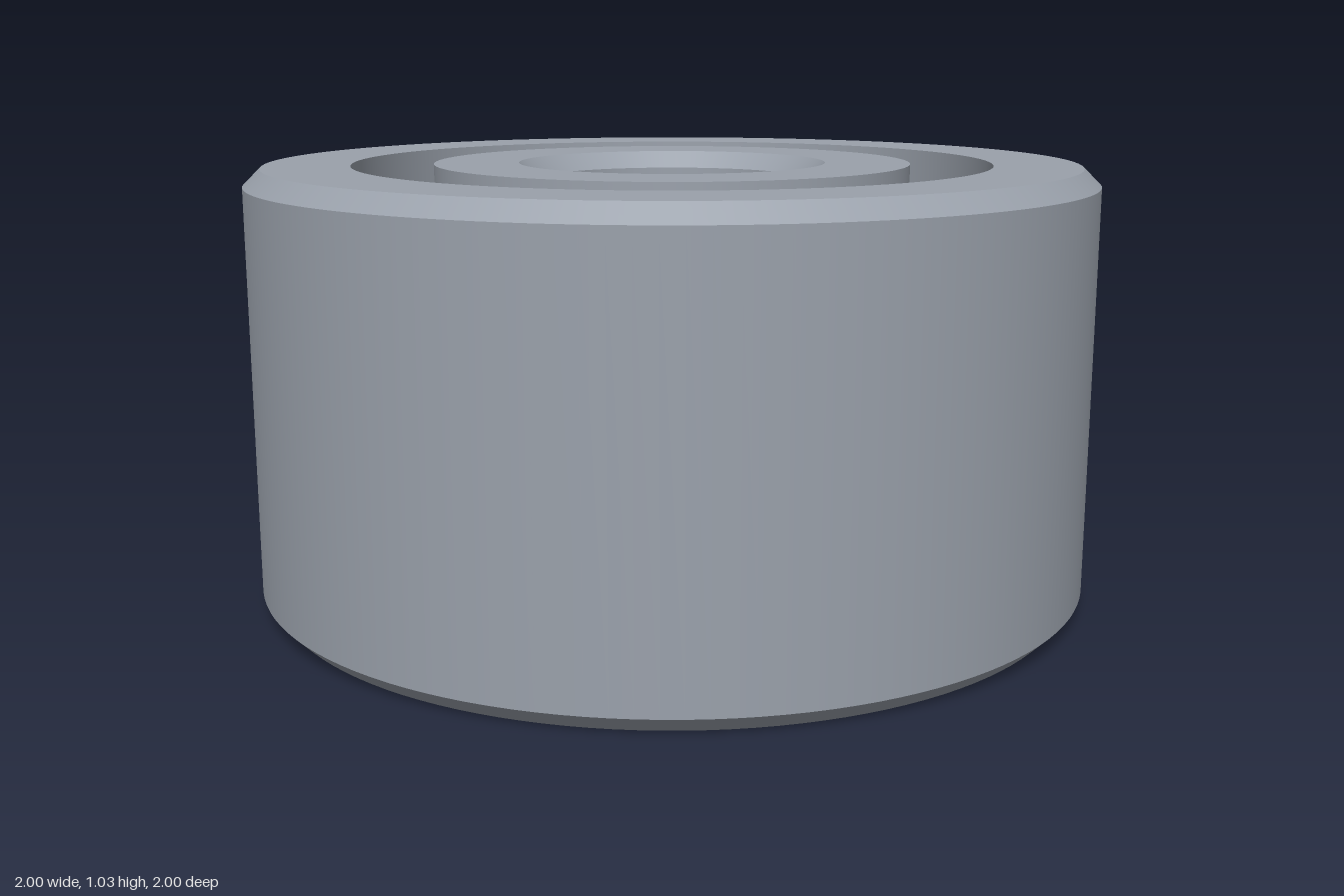
import * as THREE from 'three';
import { mergeGeometries } from 'three/addons/utils/BufferGeometryUtils.js';

const H = 1.03;              // ring height
const C = 0.04;              // chamfer size
const PITCH = 0.66;          // radius of the ball circle
const ROWS = [0.26, 0.77];   // heights of the two ball rows
const BALL_R = 0.153;
const GROOVE_R = 0.156;

// Ring made of separately turned strips, so edges between strips stay sharp.
// Strips run counter-clockwise in (radius, height).
function turnedRing(strips) {
  return mergeGeometries(strips.map((strip) =>
    new THREE.LatheGeometry(strip.map(([r, y]) => new THREE.Vector2(r, y)), 128)));
}

// Raceway arc cut into a wall of radius r; side +1 cuts outward, -1 inward.
function grooveArc(r, y, side, dir) {
  const a = Math.acos(Math.abs(r - PITCH) / GROOVE_R);
  const points = [];
  for (let i = 0; i <= 14; i++) {
    const t = dir * a * (i / 7 - 1);
    points.push([PITCH + side * GROOVE_R * Math.cos(t), y + GROOVE_R * Math.sin(t)]);
  }
  return points;
}

// Wall with two raceways; dir +1 runs upwards, -1 downwards.
function grooveWall(r, side, dir) {
  const rows = dir > 0 ? ROWS : [...ROWS].reverse();
  const strips = [];
  let last = [r, dir > 0 ? 0 : H];
  for (const y of rows) {
    const arc = grooveArc(r, y, side, dir);
    strips.push([last, arc[0]], arc);
    last = arc[arc.length - 1];
  }
  strips.push([last, [r, dir > 0 ? H : 0]]);
  return strips;
}

export function createModel() {
  const model = new THREE.Group();
  model.name = 'ballBearing';
  const steel = new THREE.MeshStandardMaterial({ color: 0x9aa1ab });
  steel.name = 'steel';

  const add = (name, geometry, parent = model) => {
    const mesh = new THREE.Mesh(geometry, steel);
    mesh.name = name;
    parent.add(mesh);
    return mesh;
  };

  // Outer ring: chamfered outside, raceways inside
  const outerIn = 0.757;
  add('outerRing', turnedRing([
    [[outerIn, 0], [1 - C, 0]],
    [[1 - C, 0], [1, C]],
    [[1, C], [1, H - C]],
    [[1, H - C], [1 - C, H]],
    [[1 - C, H], [outerIn, H]],
    ...grooveWall(outerIn, 1, -1),
  ]));

  // Inner ring: raceways outside, chamfered bore
  const innerOut = 0.565;
  const bore = 0.325;
  add('innerRing', turnedRing([
    [[bore + C, 0], [innerOut, 0]],
    ...grooveWall(innerOut, -1, 1),
    [[innerOut, H], [bore + C, H]],
    [[bore + C, H], [bore, H - C]],
    [[bore, H - C], [bore, C]],
    [[bore, C], [bore + C, 0]],
  ]));

  // Two aligned rows of nine balls
  const ballGeometry = new THREE.SphereGeometry(BALL_R, 40, 28);
  ROWS.forEach((y, row) => {
    const balls = new THREE.Group();
    balls.name = row ? 'upperBallRow' : 'lowerBallRow';
    model.add(balls);
    for (let i = 0; i < 9; i++) {
      const a = THREE.MathUtils.degToRad(12 + i * 40);
      add('ball', ballGeometry, balls)
        .position.set(PITCH * Math.cos(a), y, PITCH * Math.sin(a));
    }
  });

  return model;
}
